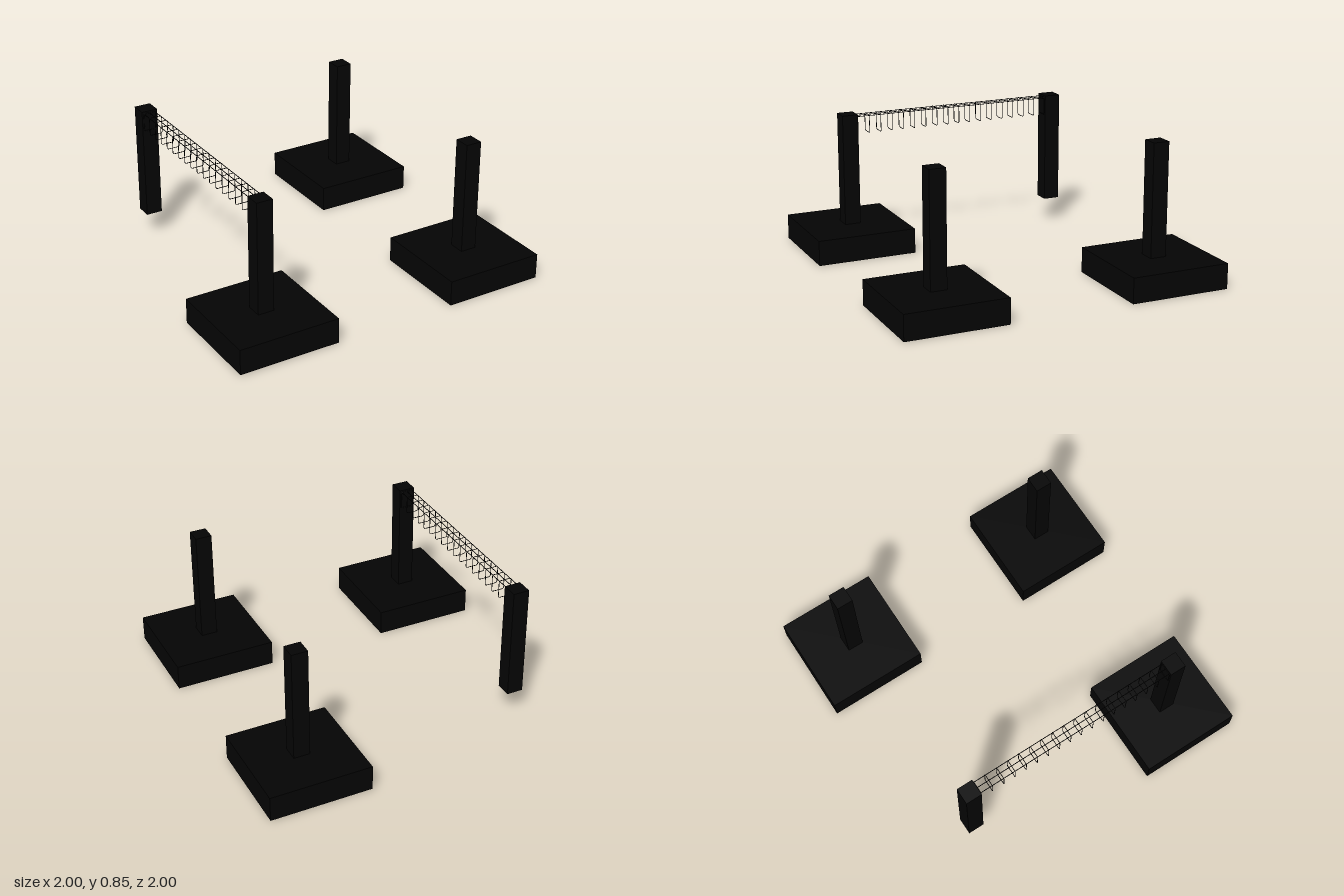
import * as THREE from 'three';

const dark = new THREE.MeshStandardMaterial({ color: 0x040404 });
const C = 0.69;          // column centre offset
const BASE = 0.155;      // footing height
const TOP = 0.845;       // column top

function box(name, w, h, d, x, y, z) {
  const m = new THREE.Mesh(new THREE.BoxGeometry(w, h, d), dark);
  m.name = name;
  m.position.set(x, y, z);
  return m;
}

// Closed rounded-rectangle path of a stirrup, in the xy plane
function stirrupPath(w, yLow, yHigh, r) {
  const path = new THREE.CurvePath();
  const v = (x, y) => new THREE.Vector3(x, y, 0);
  const a = w / 2;
  const corners = [v(a, yLow), v(a, yHigh), v(-a, yHigh), v(-a, yLow)];
  corners.forEach((c, i) => {
    const prev = corners[(i + 3) % 4], next = corners[(i + 1) % 4];
    const toward = (p, d) => c.clone().add(p.clone().sub(c).setLength(d));
    const end = next.clone().add(c.clone().sub(next).setLength(r));
    path.add(new THREE.QuadraticBezierCurve3(toward(prev, r), c, toward(next, r)));
    path.add(new THREE.LineCurve3(toward(next, r), end));
  });
  return path;
}

export function createModel() {
  const model = new THREE.Group();
  model.name = 'foundationFrame';

  // Four columns; the back right one has no footing
  for (const sx of [-1, 1]) for (const sz of [-1, 1]) {
    const side = (sz > 0 ? 'front' : 'back') + (sx > 0 ? 'Left' : 'Right');
    model.add(box(side + 'Column', 0.1, TOP - BASE, 0.1, sx * C, (TOP + BASE) / 2, sz * C));
    if (sx > 0 || sz > 0) {
      model.add(box(side + 'Footing', 0.62, BASE, 0.62, sx * C, BASE / 2, sz * C));
    }
  }

  // Beam reinforcement between the two right-hand columns
  const cage = new THREE.Group();
  cage.name = 'beamReinforcement';
  cage.position.x = -C;
  model.add(cage);

  const barGeo = new THREE.CylinderGeometry(0.0022, 0.0022, 1.28, 8).rotateX(Math.PI / 2);
  for (const x of [-0.036, 0, 0.036]) {
    const bar = new THREE.Mesh(barGeo, dark);
    bar.name = 'longitudinalBar';
    bar.position.set(x, 0.83, 0);
    cage.add(bar);
  }

  const hoopGeo = new THREE.TubeGeometry(stirrupPath(0.08, 0.722, 0.834, 0.012), 64, 0.002, 6, true);
  for (let i = 0; i < 18; i++) {
    const hoop = new THREE.Mesh(hoopGeo, dark);
    hoop.name = 'stirrup';
    hoop.position.z = 0.638 - i * 0.075;
    cage.add(hoop);
  }

  return model;
}
